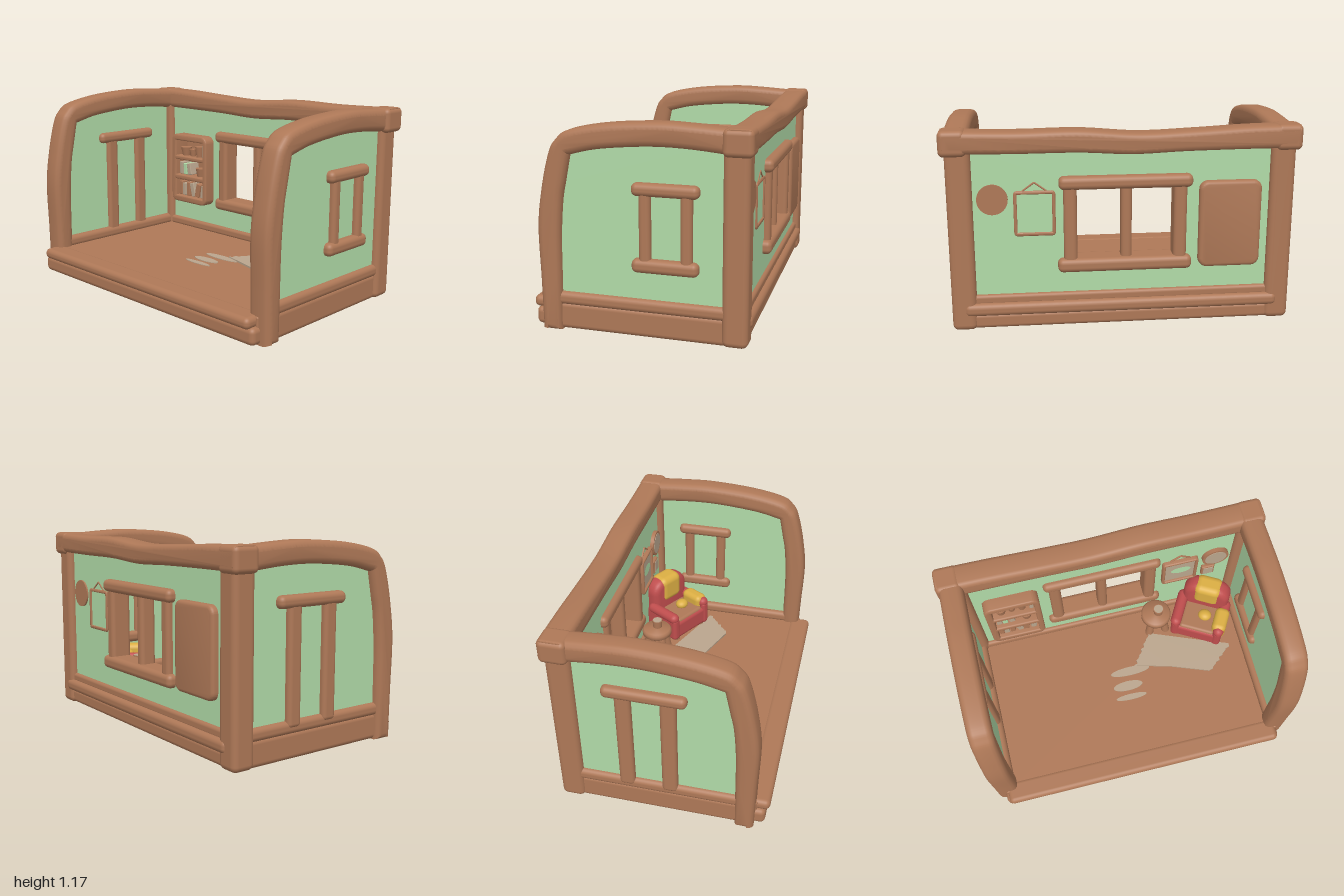
import * as THREE from 'three';
import { RoundedBoxGeometry } from 'three/addons/geometries/RoundedBoxGeometry.js';
import { toCreasedNormals } from 'three/addons/utils/BufferGeometryUtils.js';

const paint = (name, color) => {
  const m = new THREE.MeshStandardMaterial({ color });
  m.name = name;
  return m;
};

export function createModel() {
  const wood = paint('wood', 0xae7857), green = paint('wall green', 0xb1dba8);
  const beige = paint('beige', 0xbaa58d), red = paint('red', 0xbf4d4d), yellow = paint('yellow', 0xdbae43);
  const room = new THREE.Group();
  room.name = 'room';

  const add = (name, geo, mat, parent = room) => {
    const m = new THREE.Mesh(geo, mat);
    m.name = name;
    parent.add(m);
    return m;
  };
  // Rounded box given by its limits
  const box = (name, mat, [x0, x1], [y0, y1], [z0, z1], r = 0.025, parent = room) => {
    const w = x1 - x0, h = y1 - y0, d = z1 - z0;
    const geo = new RoundedBoxGeometry(w, h, d, 3, Math.min(r, w / 2.1, h / 2.1, d / 2.1));
    const m = add(name, geo, mat, parent);
    m.position.set((x0 + x1) / 2, (y0 + y1) / 2, (z0 + z1) / 2);
    return m;
  };
  // Outline in x,y pushed through from z0 to z1 with rounded edges
  const slab = (shape, z0, z1, b = 0) => {
    const geo = new THREE.ExtrudeGeometry(shape, {
      depth: z1 - z0 - 2 * b, bevelEnabled: b > 0, bevelSize: b, bevelThickness: b,
      bevelOffset: -b, bevelSegments: 3, curveSegments: 16,
    });
    return toCreasedNormals(geo.translate(0, 0, z0 + b), 0.7);
  };
  // Outline in z,y pushed through from x0 to x1
  const sideSlab = (shape, x0, x1, b = 0) => slab(shape, -x1, -x0, b).rotateY(-Math.PI / 2);
  const rect = (x0, x1, y0, y1, Type = THREE.Shape) => {
    const s = new Type();
    s.moveTo(x0, y0); s.lineTo(x1, y0); s.lineTo(x1, y1); s.lineTo(x0, y1); s.closePath();
    return s;
  };
  const roundRect = (x0, x1, y0, y1, r) => {
    const s = new THREE.Shape();
    s.absarc(x1 - r, y1 - r, r, 0, Math.PI / 2);
    s.absarc(x0 + r, y1 - r, r, Math.PI / 2, Math.PI);
    s.absarc(x0 + r, y0 + r, r, Math.PI, Math.PI * 1.5);
    s.absarc(x1 - r, y0 + r, r, Math.PI * 1.5, Math.PI * 2);
    s.closePath();
    return s;
  };
  const vecs = (pts) => pts.map((p) => new THREE.Vector2(...p));

  // Raised floor with stacked rails in front and behind
  box('floor', wood, [-0.92, 0.92], [0.08, 0.167], [-0.56, 0.55], 0.01);
  box('frontLowerRail', wood, [-0.93, 0.93], [0.015, 0.115], [0.47, 0.6], 0.03);
  box('frontUpperRail', wood, [-0.91, 0.91], [0.105, 0.172], [0.48, 0.622], 0.03);
  box('backLowerRail', wood, [-0.92, 0.92], [0.02, 0.11], [-0.59, -0.5]);
  box('backUpperRail', wood, [-0.9, 0.9], [0.1, 0.175], [-0.615, -0.5], 0.03);
  box('backSkirting', wood, [-0.88, 0.88], [0.16, 0.22], [-0.585, -0.475], 0.02);

  // Back wall with openings for the window and the bookcase
  const wall = rect(-0.88, 0.88, 0.16, 1.08);
  wall.holes.push(rect(-0.3, 0.28, 0.41, 0.85, THREE.Path), rect(-0.755, -0.455, 0.385, 0.83, THREE.Path));
  add('backWall', slab(wall, -0.565, -0.5), green);

  // Wavy top beam
  const beam = new THREE.Shape();
  beam.moveTo(-0.99, 1.035);
  beam.splineThru(vecs([[-0.7, 1.035], [-0.35, 1.03], [-0.05, 1.02], [0.25, 1.035], [0.6, 1.035], [0.99, 1.04]]));
  beam.lineTo(0.99, 1.165);
  beam.splineThru(vecs([[0.6, 1.155], [0.25, 1.158], [-0.08, 1.135], [-0.4, 1.145], [-0.7, 1.16], [-0.99, 1.165]]));
  add('backTopBeam', slab(beam, -0.625, -0.47, 0.03), wood);

  // Back window frame
  const zWin = [-0.615, -0.46];
  box('windowHead', wood, [-0.39, 0.36], [0.825, 0.9], zWin, 0.03);
  box('windowSill', wood, [-0.39, 0.37], [0.345, 0.425], zWin, 0.03);
  for (const [a, b] of [[-0.36, -0.285], [0.26, 0.335]]) box('windowPost', wood, [a, b], [0.39, 0.86], [-0.6, -0.47]);
  box('windowMullion', wood, [-0.05, 0.012], [0.39, 0.86], [-0.58, -0.48]);

  // Curved side frames and walls
  const arch = new THREE.Shape();
  arch.moveTo(0.432, 0.01);
  arch.lineTo(0.54, 0.01);
  arch.splineThru(vecs([[0.545, 0.3], [0.55, 0.6], [0.52, 0.82], [0.475, 1.0], [0.435, 1.07], [0.36, 1.122],
    [0.15, 1.162], [-0.12, 1.18], [-0.3, 1.175], [-0.52, 1.16]]));
  arch.lineTo(-0.52, 1.03);
  arch.splineThru(vecs([[-0.3, 1.05], [-0.12, 1.055], [0.05, 1.045], [0.22, 1.025], [0.358, 0.992]]));
  arch.splineThru(vecs([[0.385, 0.86], [0.408, 0.74], [0.424, 0.54], [0.428, 0.3]]));
  arch.closePath();
  const sideWall = new THREE.Shape();
  sideWall.moveTo(-0.53, 0.15);
  sideWall.lineTo(0.48, 0.15);
  sideWall.splineThru(vecs([[0.48, 0.6], [0.45, 0.84], [0.4, 1.04], [0.2, 1.09], [-0.12, 1.11], [-0.53, 1.09]]));
  sideWall.closePath();
  for (const s of [-1, 1]) {
    const span = (a, b) => (s > 0 ? [a, b] : [-b, -a]);
    add('archFrame', sideSlab(arch, ...span(0.842, 0.982), 0.035), wood);
    add('sideWall', sideSlab(sideWall, ...span(0.885, 0.935)), green);
    box('cornerPost', wood, span(0.832, 0.972), [0.015, 1.08], [-0.605, -0.465], 0.035);
    box('cornerBlock', wood, span(0.85, 1), [1.025, 1.168], [-0.625, -0.465], 0.03);
    box('sideBase', wood, span(0.85, 0.95), [0.012, 0.17], [-0.53, 0.5], 0.03);
    box('sideSkirting', wood, span(0.85, 0.962), [0.155, 0.23], [-0.52, 0.49], 0.03);
  }

  // Window frame on one side, door frame on the other
  box('sideWindowHead', wood, [0.85, 0.98], [0.795, 0.865], [-0.345, 0.02], 0.03);
  box('sideWindowSill', wood, [0.85, 0.98], [0.382, 0.458], [-0.342, 0.022], 0.03);
  for (const z of [-0.275, -0.05]) box('sideWindowPost', wood, [0.86, 0.97], [0.42, 0.83], [z - 0.032, z + 0.032]);
  box('doorHead', wood, [-0.98, -0.85], [0.83, 0.9], [-0.31, 0.16], 0.03);
  for (const z of [-0.195, 0.055]) box('doorPost', wood, [-0.97, -0.86], [0.19, 0.86], [z - 0.045, z + 0.045]);

  // Bookcase set through the wall
  const shelves = [[0.7, 0.81], [0.56, 0.67], [0.405, 0.525]];
  const caseShape = roundRect(-0.78, -0.43, 0.36, 0.855, 0.05);
  for (const [a, b] of shelves) caseShape.holes.push(rect(-0.735, -0.468, a, b, THREE.Path));
  add('bookcase', slab(caseShape, -0.58, -0.418, 0.012), wood);
  add('bookcaseBack', slab(roundRect(-0.785, -0.43, 0.35, 0.855, 0.05), -0.605, -0.535, 0.02), wood);
  // Books as [shelf, x, width, height, tilt, colour]
  const books = [
    [1, -0.71, 0.034, 0.09, 0, beige], [1, -0.672, 0.034, 0.08, 0, green], [1, -0.632, 0.036, 0.085, 0.2, beige],
    [2, -0.715, 0.03, 0.1, 0, wood], [2, -0.68, 0.034, 0.09, 0, beige], [2, -0.64, 0.034, 0.1, 0, wood],
    [2, -0.595, 0.04, 0.1, 0.25, beige], [2, -0.545, 0.04, 0.1, -0.2, wood], [2, -0.495, 0.036, 0.09, -0.15, beige],
    [0, -0.485, 0.026, 0.09, 0, beige],
  ];
  for (const [row, x, w, h, tilt, mat] of books) {
    const y = shelves[row][0];
    box('book', mat, [x - w / 2, x + w / 2], [y, y + h], [-0.54, -0.45], 0.005).rotation.z = tilt;
  }
  // Bowls and pots
  for (const [row, x, r, h] of [[0, -0.68, 0.04, 0.06], [0, -0.61, 0.028, 0.05], [0, -0.545, 0.033, 0.075], [1, -0.53, 0.04, 0.06]]) {
    const bowl = add('bowl', new THREE.CylinderGeometry(r, r * 0.7, h, 20), wood);
    bowl.position.set(x, shelves[row][0] + h / 2, -0.475);
  }

  // Pictures and mirror
  const frame = roundRect(0.378, 0.61, 0.56, 0.82, 0.02);
  frame.holes.push(rect(0.397, 0.591, 0.58, 0.8, THREE.Path));
  add('pictureFrame', slab(frame, -0.575, -0.47, 0.007), wood);
  box('pictureCanvas', beige, [0.39, 0.6], [0.575, 0.805], [-0.502, -0.485], 0.004);
  const oval = add('pictureOval', new THREE.CircleGeometry(1, 32), green);
  oval.scale.set(0.065, 0.036, 1);
  oval.position.set(0.502, 0.695, -0.483);
  for (const s of [-1, 1]) {
    const cord = box('pictureCord', wood, [-0.042, 0.042], [-0.005, 0.005], [-0.04, 0.04], 0.004);
    cord.position.set(0.494 + s * 0.033, 0.843, -0.53);
    cord.rotation.z = -s * 0.63;
  }
  const disc = (name, mat, r, z0, z1) => {
    const m = add(name, new THREE.CylinderGeometry(r, r, z1 - z0, 40).rotateX(Math.PI / 2), mat);
    m.position.set(0.725, 0.775, (z0 + z1) / 2);
  };
  disc('mirrorFrame', wood, 0.086, -0.575, -0.475);
  disc('mirrorGlass', beige, 0.07, -0.478, -0.472);
  box('smallFrame', wood, [0.645, 0.733], [0.565, 0.665], [-0.505, -0.475], 0.01);
  box('smallPicture', beige, [0.656, 0.722], [0.577, 0.653], [-0.479, -0.472], 0.002);

  // Rug with ragged short ends
  const start = [[0.25, -0.31], [0.1, -0.1]], end = [[0.59, 0.06], [0.775, -0.1]];
  const ragged = ([p, q]) => Array.from({ length: 13 }, (_, i) => {
    const t = i / 12;
    return [p[0] + (q[0] - p[0]) * t + (i % 2) * 0.014, p[1] + (q[1] - p[1]) * t + (i % 3) * 0.005];
  });
  const rug = new THREE.Shape(vecs([...ragged(start), [0.34, -0.035], ...ragged(end), [0.52, -0.2]].map(([x, z]) => [x, -z])));
  add('rug', slab(rug, 0.16, 0.178).rotateX(-Math.PI / 2), beige);
  for (const [x, z, rx, rz] of [[0.065, -0.07, 0.135, 0.03], [0.025, 0.03, 0.1, 0.033], [0.03, 0.11, 0.105, 0.02]]) {
    const patch = add('floorPatch', new THREE.CylinderGeometry(1, 1, 0.006, 32), beige);
    patch.scale.set(rx, 1, rz);
    patch.position.set(x, 0.168, z);
  }

  // Stool with cup
  const stool = new THREE.Group();
  stool.name = 'stool';
  stool.position.set(0.322, 0.165, -0.375);
  room.add(stool);
  const seat = [[0, 0.13], [0.085, 0.13], [0.1, 0.143], [0.1, 0.17], [0.09, 0.182], [0, 0.182]];
  add('stoolSeat', toCreasedNormals(new THREE.LatheGeometry(vecs(seat), 32), 0.9), wood, stool);
  for (let i = 0; i < 4; i++) {
    const a = Math.PI * (0.25 + i / 2);
    const leg = add('stoolLeg', new THREE.CylinderGeometry(0.024, 0.028, 0.15, 12), wood, stool);
    leg.position.set(Math.cos(a) * 0.07, 0.07, Math.sin(a) * 0.07);
    leg.rotation.set(Math.sin(a) * -0.15, 0, Math.cos(a) * 0.15);
  }
  add('cup', new THREE.CylinderGeometry(0.034, 0.03, 0.055, 20), wood, stool).position.set(0.015, 0.207, 0);
  add('drink', new THREE.CylinderGeometry(0.03, 0.03, 0.005, 20), beige, stool).position.set(0.015, 0.2355, 0);

  // Armchair turned towards the room
  const chair = new THREE.Group();
  chair.name = 'armchair';
  chair.position.set(0.622, 0, -0.31);
  chair.rotation.y = -Math.PI / 6;
  room.add(chair);
  box('chairBase', red, [-0.15, 0.15], [0.185, 0.325], [-0.14, 0.145], 0.03, chair);
  box('seatCushion', wood, [-0.12, 0.12], [0.29, 0.335], [-0.09, 0.135], 0.02, chair);
  add('chairBack', slab(roundRect(-0.15, 0.16, 0.2, 0.55, 0.1), -0.175, -0.055, 0.04), red, chair);
  for (const s of [-1, 1]) {
    box('chairArm', red, [s * 0.145 - 0.03, s * 0.145 + 0.03], [0.185, 0.36], [-0.13, 0.15], 0.025, chair);
    const roll = add('armRoll', new THREE.CapsuleGeometry(0.036, 0.2, 6, 16).rotateX(Math.PI / 2), red, chair);
    roll.position.set(s * 0.147, 0.355, 0.015);
    for (const z of [-0.1, 0.11]) box('chairFoot', wood, [s * 0.12 - 0.02, s * 0.12 + 0.02], [0.16, 0.2], [z - 0.02, z + 0.02], 0.01, chair);
  }
  box('backBlanket', yellow, [-0.085, 0.1], [0.37, 0.558], [-0.182, -0.045], 0.045, chair);
  box('armBlanket', yellow, [0.095, 0.19], [0.25, 0.402], [-0.05, 0.12], 0.035, chair);
  const pillow = add('pillow', new THREE.SphereGeometry(0.045, 20, 14), yellow, chair);
  pillow.scale.set(1, 0.7, 0.9);
  pillow.position.set(0.03, 0.35, 0.02);

  return room;
}
